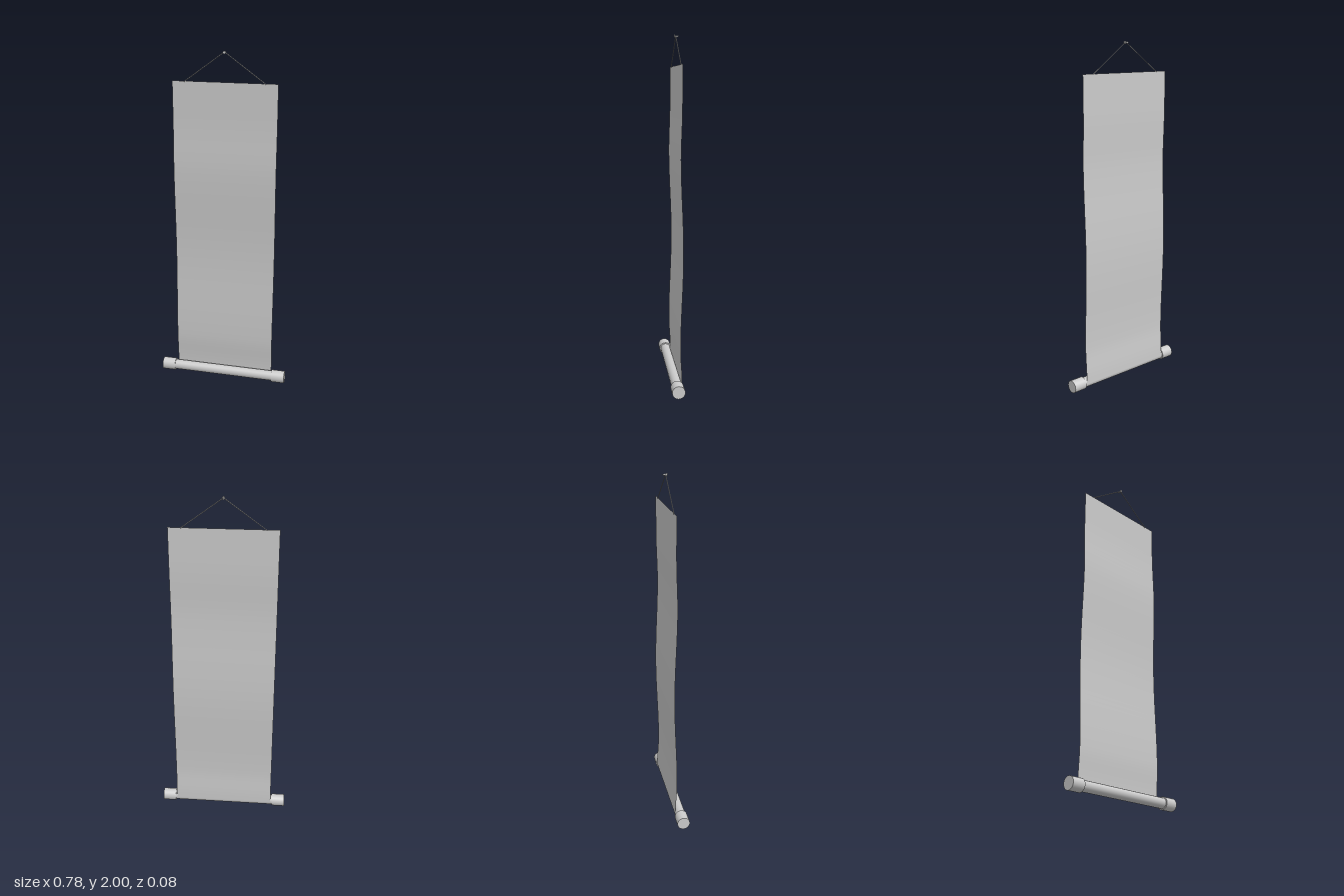
import * as THREE from 'three';

const grey = new THREE.MeshStandardMaterial({ color: 0xcccccc });
const thin = new THREE.MeshStandardMaterial({ color: 0xcccccc, side: THREE.DoubleSide });

export function createModel() {
  const model = new THREE.Group();
  const add = (name, geometry, material = grey) => {
    const mesh = new THREE.Mesh(geometry, material);
    mesh.name = name;
    model.add(mesh);
    return mesh;
  };

  // Bottom roller with a thicker knob on each end
  const rodY = 0.038, rodZ = 0.002;
  const rod = (name, radius, length, x) => {
    const g = new THREE.CylinderGeometry(radius, radius, length, 32).rotateZ(Math.PI / 2);
    add(name, g).position.set(x, rodY, rodZ);
  };
  rod('roller', 0.03, 0.62, 0);
  for (const side of [-1, 1]) rod(side > 0 ? 'leftKnob' : 'rightKnob', 0.037, 0.08, side * 0.348);

  // Hanging sheet: gentle waves that flatten towards the top, tangent to the back of the roller
  const bottom = rodY, top = 1.83;
  const sheet = new THREE.PlaneGeometry(0.6, top - bottom, 1, 64);
  sheet.translate(0, (top + bottom) / 2, 0);
  const p = sheet.attributes.position;
  for (let i = 0; i < p.count; i++) {
    const y = p.getY(i);
    const fadeTop = 1 - THREE.MathUtils.smoothstep(y, 1.3, 1.71);
    const fadeBottom = THREE.MathUtils.smoothstep(y, bottom, 0.25);
    const wave = -0.027 - 0.0075 * Math.cos((2 * Math.PI * (y - 0.8)) / 1.1) * fadeTop;
    p.setZ(i, THREE.MathUtils.lerp(-0.0285, wave, fadeBottom));
  }
  sheet.computeVertexNormals();
  add('sheet', sheet, thin);

  // Cord from the sheet's top edge up to the peg on both sides
  for (const side of [-1, 1]) {
    const path = new THREE.LineCurve3(
      new THREE.Vector3(side * 0.232, 1.826, -0.027),
      new THREE.Vector3(0, 1.994, -0.026));
    add(side > 0 ? 'leftCord' : 'rightCord', new THREE.TubeGeometry(path, 1, 0.0025, 8), thin);
  }

  // Wall peg with a wider head
  const peg = (name, radius, length, z) => {
    const g = new THREE.CylinderGeometry(radius, radius, length, 16).rotateX(Math.PI / 2);
    add(name, g).position.set(0, 1.992, z);
  };
  peg('pegShaft', 0.005, 0.022, -0.031);
  peg('pegHead', 0.008, 0.005, -0.0195);

  return model;
}
